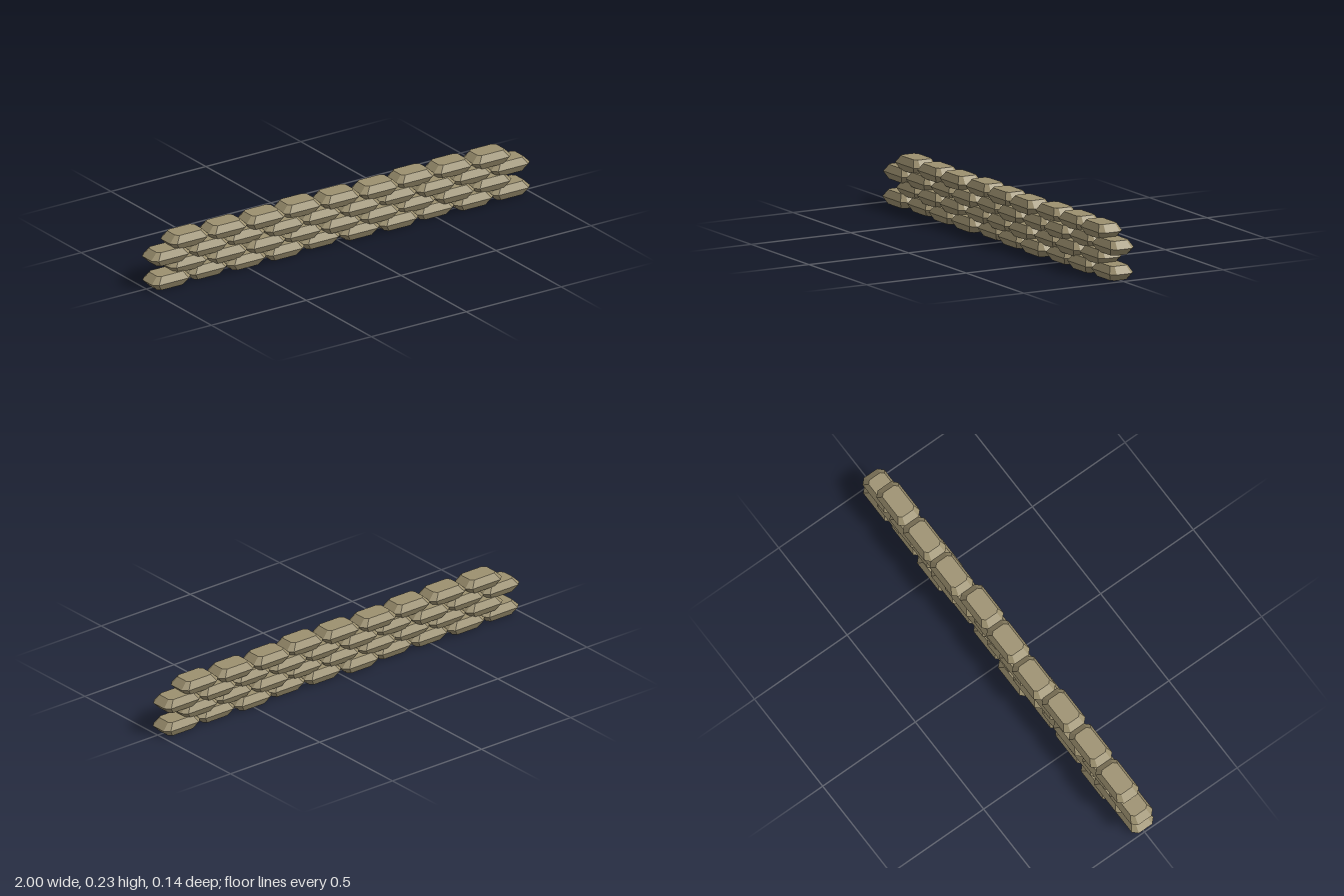
import * as THREE from 'three';

// Octagonal outline: a rectangle with cut corners, counter-clockwise seen from above
function ring(hx, hz, cut, y) {
  const x = hx - cut, z = hz - cut;
  return [[hx, z], [hx, -z], [x, -hz], [-x, -hz], [-hx, -z], [-hx, z], [-x, hz], [x, hz]]
    .map(([px, pz]) => [px, y, pz]);
}

// Low-poly bag: small bottom, bulging waist, small top
function bagGeometry() {
  const rings = [
    ring(0.07, 0.043, 0.014, -0.032),
    ring(0.102, 0.059, 0.023, 0),
    ring(0.07, 0.043, 0.014, 0.032),
  ];
  const n = 8, pos = [];
  const tri = (a, b, c) => pos.push(...a, ...b, ...c);
  for (let r = 0; r < 2; r++) {
    for (let i = 0; i < n; i++) {
      const j = (i + 1) % n, lo = rings[r], hi = rings[r + 1];
      tri(lo[i], lo[j], hi[j]);
      tri(lo[i], hi[j], hi[i]);
    }
  }
  for (let i = 1; i < n - 1; i++) {
    tri(rings[2][0], rings[2][i], rings[2][i + 1]);
    tri(rings[0][0], rings[0][i + 1], rings[0][i]);
  }
  const g = new THREE.BufferGeometry();
  g.setAttribute('position', new THREE.Float32BufferAttribute(pos, 3));
  g.computeVertexNormals();
  return g;
}

export function createModel() {
  const wall = new THREE.Group();
  wall.name = 'sandbagWall';
  const canvas = new THREE.MeshStandardMaterial({ color: 0x9c906f, flatShading: true });
  canvas.name = 'tanCanvas';
  const geo = bagGeometry();

  // Each course: height of the waist and the small depth offset of every bag
  const courses = [
    { y: 0.032, dz: [0.006, -0.004, 0.005, 0.008, -0.01, 0.004, 0.01, -0.006, 0.003, -0.003] },
    { y: 0.087, dz: [-0.006, 0.005, 0.008, -0.003, 0.004, 0.01, -0.005, 0.006, -0.002] },
    { y: 0.143, dz: [0.002, 0.004, -0.006, 0.007, -0.004, 0.008, -0.003, 0.005, -0.008, -0.006] },
    { y: 0.2, dz: [0, 0.004, 0.006, -0.008, 0, 0.006, -0.011, -0.01, -0.005] },
  ];
  courses.forEach(({ y, dz }, r) => {
    const course = new THREE.Group();
    course.name = `course${r + 1}`;
    dz.forEach((z, i) => {
      const bag = new THREE.Mesh(geo, canvas);
      bag.name = `sandbag${i + 1}`;
      bag.position.set((i - (dz.length - 1) / 2) * 0.1995, y, z);
      course.add(bag);
    });
    wall.add(course);
  });
  return wall;
}
